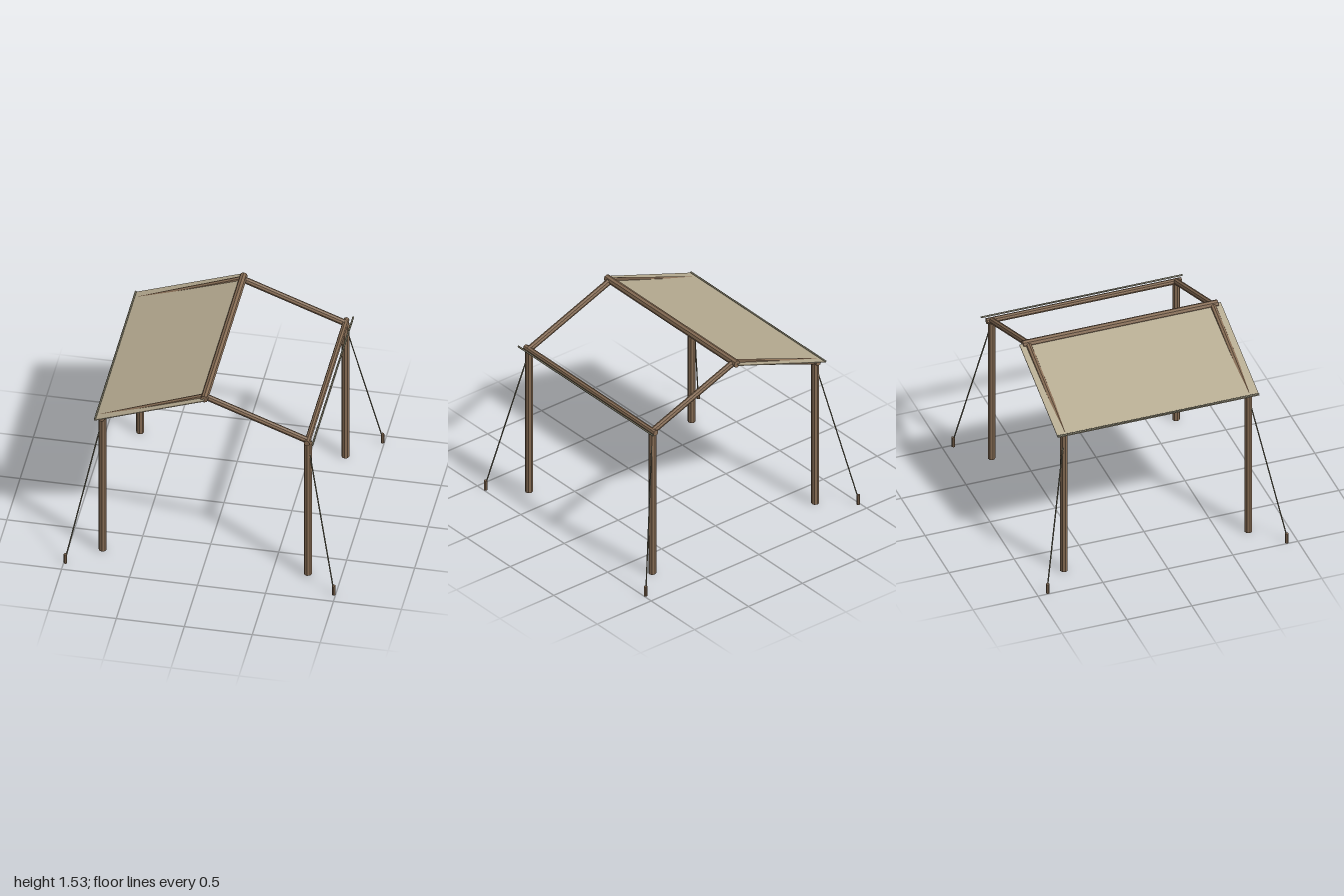
import * as THREE from 'three';

const wood = new THREE.MeshStandardMaterial({ color: 0x866c54 });
const rope = new THREE.MeshStandardMaterial({ color: 0x77735f });
const canvas = new THREE.MeshStandardMaterial({ color: 0xb5aa90 });
wood.name = 'wood';
rope.name = 'rope';
canvas.name = 'canvas';
wood.flatShading = true;

export function createModel() {
  const model = new THREE.Group();
  model.name = 'canopyFrame';

  // Round bar running from point a to point b
  function bar(name, a, b, radius, material, sides = 8) {
    const start = new THREE.Vector3(...a);
    const end = new THREE.Vector3(...b);
    const dir = end.clone().sub(start);
    const geometry = new THREE.CylinderGeometry(radius, radius, dir.length(), sides);
    const mesh = new THREE.Mesh(geometry, material);
    mesh.name = name;
    mesh.position.copy(start).add(end).multiplyScalar(0.5);
    mesh.quaternion.setFromUnitVectors(new THREE.Vector3(0, 1, 0), dir.normalize());
    model.add(mesh);
  }

  // Ridge pole
  bar('ridgePole', [0, 1.503, -0.75], [0, 1.503, 0.75], 0.028, wood);

  for (const x of [-1, 1]) {
    // Eave beam and the thin hem rod outside it
    bar('eaveBeam', [x * 0.755, 1.212, -0.75], [x * 0.755, 1.212, 0.75], 0.022, wood);
    bar('hemRod', [x * 0.8, 1.222, -0.775], [x * 0.8, 1.222, 0.775], 0.007, rope, 6);

    for (const z of [-1, 1]) {
      // Corner post, rafter, guy line and ground stake
      bar('post', [x * 0.755, 0, z * 0.71], [x * 0.755, 1.21, z * 0.71], 0.029, wood);
      bar('rafter', [x * 0.76, 1.208, z * 0.71], [0, 1.5, z * 0.71], 0.024, wood);
      bar('guyLine', [x * 0.757, 1.18, z * 0.71], [x * 0.983, 0.06, z * 0.92], 0.005, rope, 6);
      bar('stake', [x * 0.987, 0, z * 0.92], [x * 0.987, 0.08, z * 0.92], 0.013, wood);
    }
  }

  // Canvas sheet over one slope only
  const run = 0.805, drop = 0.29;
  const sheet = new THREE.Mesh(
    new THREE.BoxGeometry(Math.hypot(run, drop), 0.006, 1.55), canvas);
  sheet.name = 'canvasRoof';
  sheet.position.set(-run / 2, 1.503 - drop / 2, 0);
  sheet.rotation.z = Math.atan2(drop, run);
  model.add(sheet);

  return model;
}
